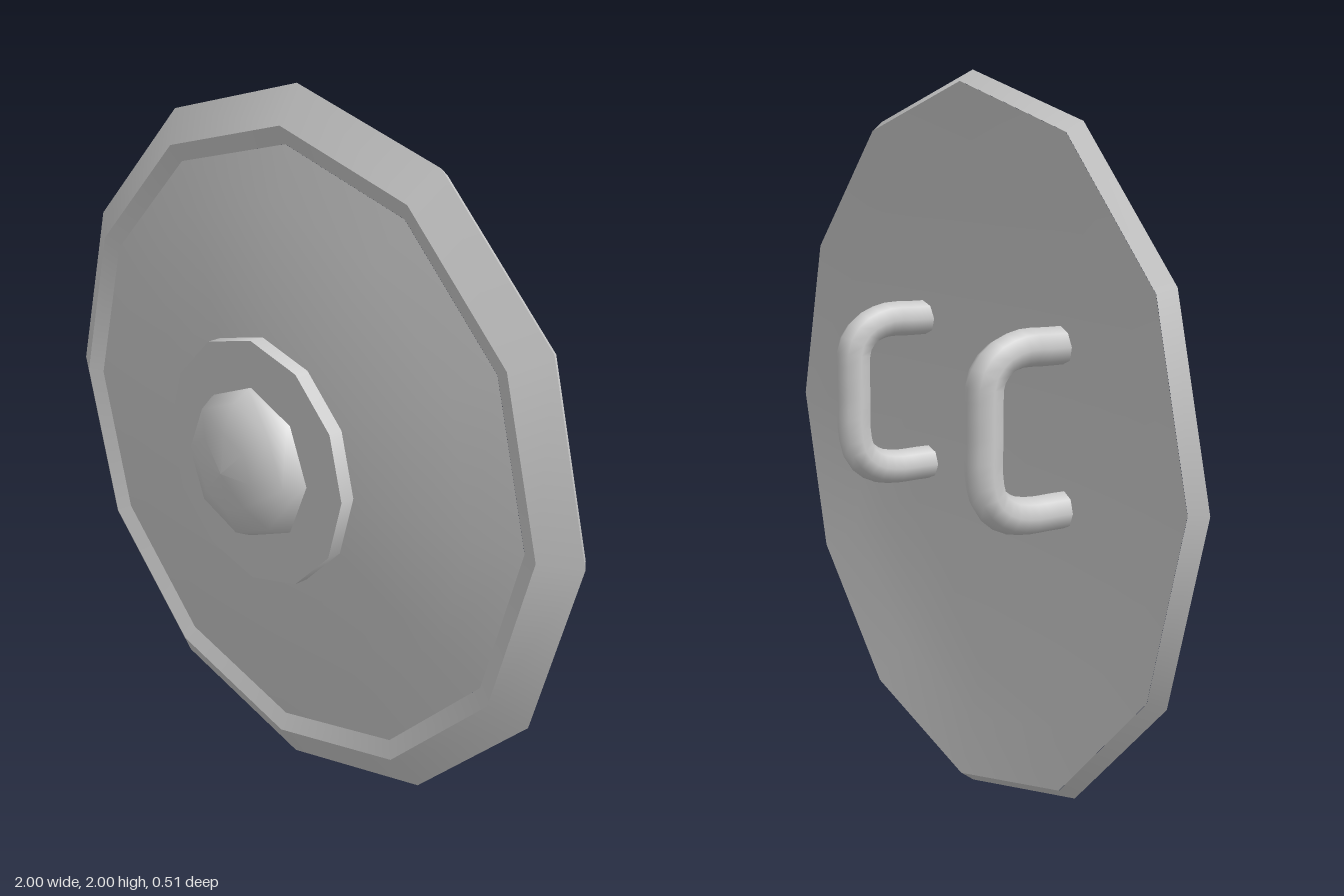
import * as THREE from 'three';
import { mergeGeometries } from 'three/addons/utils/BufferGeometryUtils.js';

const material = new THREE.MeshStandardMaterial({ color: 0xcccccc });

function addMesh(parent, name, geometry) {
  const mesh = new THREE.Mesh(geometry, material);
  mesh.name = name;
  parent.add(mesh);
  return mesh;
}

// Spins [radius, z] runs around the z axis; each run is smooth, joints between runs are sharp.
function spin(sides, ...runs) {
  const parts = runs.map((run) =>
    new THREE.LatheGeometry(run.map(([r, z]) => new THREE.Vector2(r, z)), sides));
  return mergeGeometries(parts).rotateX(Math.PI / 2).translate(0, 1, 0);
}

// Shallow curved dish, listed from radius r0 to r1.
function dish(centreZ, curve, r0, r1, steps = 6) {
  return Array.from({ length: steps + 1 }, (_, i) => {
    const r = r0 + (r1 - r0) * i / steps;
    return [r, centreZ - curve * r * r];
  });
}

export function createModel() {
  const shield = new THREE.Group();
  shield.name = 'shield';

  // Curved plate: hollow back and domed front
  addMesh(shield, 'plate', spin(12,
    dish(0.06, 0.128, 0, 0.97),
    dish(0.12, 0.138, 0.85, 0)));

  // Bevelled rim with a small inner slope
  addMesh(shield, 'rim', spin(12,
    [[0.97, -0.06], [1, -0.02]],
    [[1, -0.02], [0.9, 0.04]],
    [[0.9, 0.04], [0.85, 0.02]]));

  // Flat disc under the boss
  addMesh(shield, 'bossPlate', spin(12,
    [[0.35, 0.09], [0.35, 0.145]],
    [[0.35, 0.145], [0, 0.145]]));

  // Rounded eight-sided boss
  addMesh(shield, 'boss', spin(8,
    [[0.22, 0.14], [0.215, 0.155], [0.19, 0.205], [0.11, 0.243], [0, 0.255]]));

  // Two bent grips on the back, their ends sunk into the plate
  const grip = new THREE.CatmullRomCurve3([
    [1.305, 0.06], [1.305, -0.02], [1.305, -0.1], [1.28, -0.165], [1.235, -0.2],
    [1.17, -0.206], [1.08, -0.206], [0.99, -0.206], [0.925, -0.19], [0.885, -0.145],
    [0.87, -0.08], [0.87, 0], [0.87, 0.06],
  ].map(([y, z]) => new THREE.Vector3(0, y, z)));
  const gripGeometry = new THREE.TubeGeometry(grip, 28, 0.05, 8);
  for (const side of [1, -1]) {
    addMesh(shield, side > 0 ? 'leftGrip' : 'rightGrip', gripGeometry).position.x = side * 0.35;
  }

  return shield;
}
